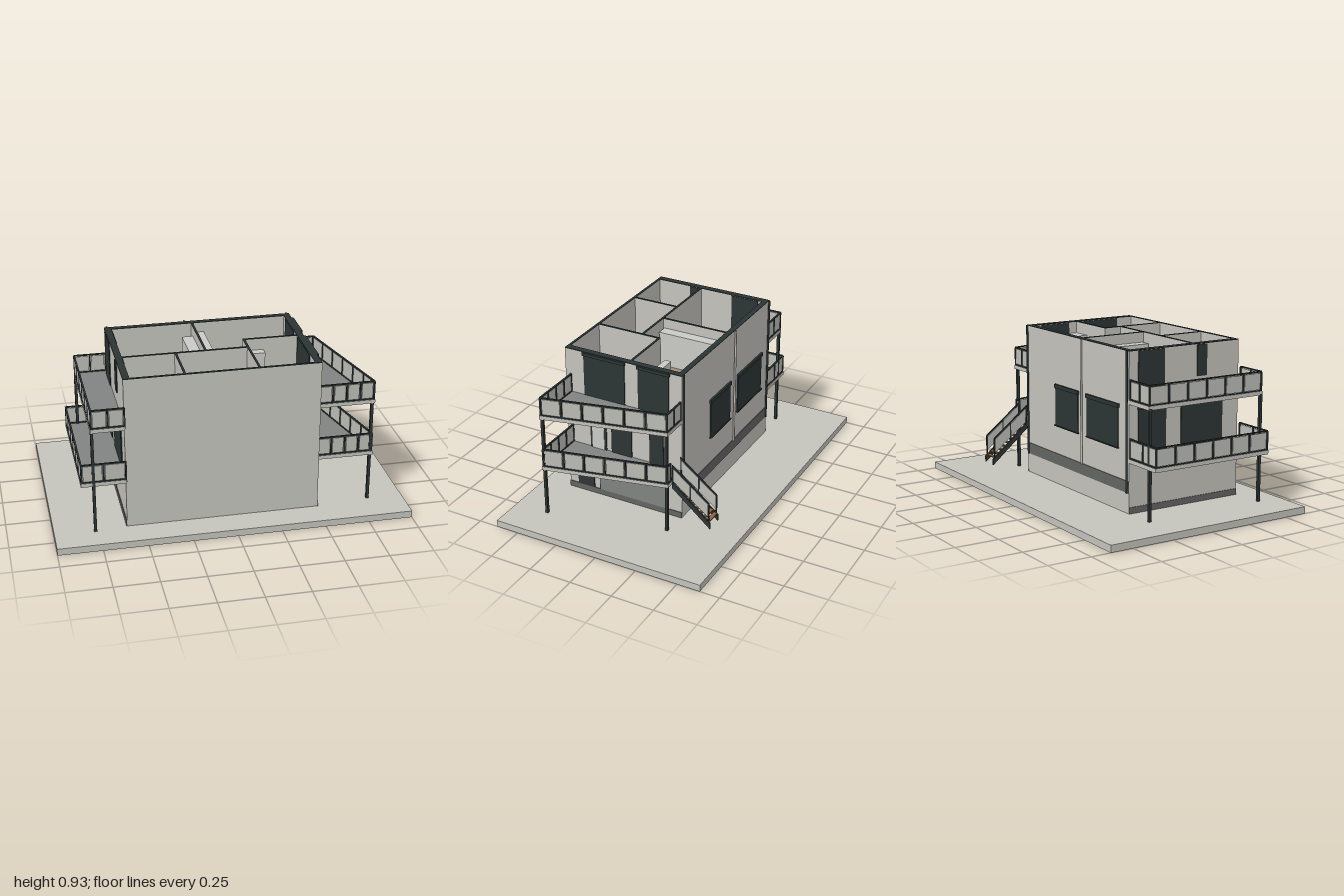
import * as THREE from 'three';

const mat = (name, color) => {
  const m = new THREE.MeshStandardMaterial({ color });
  m.name = name;
  return m;
};

export function createModel() {
  const root = new THREE.Group();
  root.name = 'house';
  const render = mat('wall render', 0xc4c3bc);
  const dark = mat('anthracite', 0x2c3534);
  const grey = mat('mid grey', 0x808481);
  const plinthGrey = mat('plinth grey', 0x636563);
  const panelGrey = mat('railing panel', 0xbdbdb7);
  const wood = mat('wood', 0x93623b);
  const floorWood = mat('floor boards', 0x9f8b79);
  const white = mat('furniture white', 0xcacac5);

  const add = (name, geo, material, parent = root) => {
    const m = new THREE.Mesh(geo, material);
    m.name = name;
    parent.add(m);
    return m;
  };
  // box given by its limits
  const box = (name, material, x0, x1, y0, y1, z0, z1, parent = root) => {
    const m = add(name, new THREE.BoxGeometry(x1 - x0, y1 - y0, z1 - z0), material, parent);
    m.position.set((x0 + x1) / 2, (y0 + y1) / 2, (z0 + z1) / 2);
    return m;
  };

  // ground slab and house body
  const X0 = -0.595, X1 = 0.492, Z0 = -0.257, Z1 = 0.47, F = 0.66, TOP = 0.93;
  box('groundSlab', render, -1, 1, 0, 0.04, -0.635, 0.635);
  box('lowerStoreys', render, X0, X1, 0.04, F, Z0, Z1);

  // open top storey: walls with dark caps
  const wall = (name, x0, x1, z0, z1) => {
    box(name, render, x0, x1, F, TOP - 0.004, z0, z1);
    box(name + 'Cap', dark, x0, x1, TOP - 0.004, TOP, z0, z1);
  };
  wall('leftWall', 0.455, X1, Z0, Z1);
  wall('rightWall', X0, -0.557, Z0, Z1);
  wall('backWall', -0.557, 0.455, Z0, -0.225);
  wall('frontWall', -0.557, 0.455, 0.456, Z1);
  const partitions = [
    [-0.097, -0.085, -0.225, 0.172], [-0.557, 0.142, 0.172, 0.184], [0.142, 0.154, 0.064, 0.456],
    [0.154, 0.455, 0.064, 0.076], [-0.266, -0.254, 0.184, 0.456],
  ];
  partitions.forEach((p, i) => wall('partition' + (i + 1), ...p));

  // floors of the top storey
  box('bedroomFloor', floorWood, -0.557, 0.455, F, F + 0.004, -0.225, 0.456);
  box('bathroomFloor', grey, -0.557, -0.266, F + 0.004, F + 0.008, 0.184, 0.456);
  box('stairwell', white, -0.254, 0.142, F + 0.004, F + 0.008, 0.35, 0.456);
  const winder = new THREE.Shape([[0.02, 0.35], [0.142, 0.35], [0.142, 0.435]].map(p => new THREE.Vector2(...p)));
  const winderGeo = new THREE.ExtrudeGeometry(winder, { depth: 0.008, bevelEnabled: false }).rotateX(Math.PI / 2);
  add('stairWinder', winderGeo, wood).position.y = F + 0.016;

  // furniture: name, material, x0, x1, height, z0, z1
  const furniture = [
    ['bed', grey, -0.465, -0.27, 0.06, -0.225, -0.01], ['pillow', white, -0.43, -0.35, 0.07, -0.222, -0.18],
    ['nightstand', white, -0.515, -0.465, 0.05, -0.225, -0.175], ['nightstand', white, -0.27, -0.2, 0.05, -0.225, -0.175],
    ['wardrobe', white, -0.16, -0.097, 0.21, -0.17, 0.165], ['wardrobe', white, -0.085, -0.022, 0.21, -0.225, 0.165],
    ['sideboard', white, -0.44, -0.295, 0.08, 0.13, 0.172],
    ['bed', grey, 0.11, 0.32, 0.06, -0.225, -0.13], ['nightstand', white, 0.32, 0.395, 0.06, -0.225, -0.165],
    ['nightstand', white, 0.015, 0.11, 0.06, -0.225, -0.175], ['cabinet', white, 0.34, 0.455, 0.2, -0.035, 0.064],
    ['shelf', white, 0.095, 0.19, 0.11, 0.025, 0.064], ['cabinet', white, 0.154, 0.26, 0.2, 0.076, 0.125],
    ['bed', grey, 0.165, 0.375, 0.06, 0.36, 0.456], ['nightstand', white, 0.375, 0.455, 0.06, 0.415, 0.456],
    ['bath', white, -0.54, -0.465, 0.06, 0.25, 0.39], ['basin', white, -0.415, -0.355, 0.1, 0.195, 0.235],
    ['toilet', white, -0.505, -0.45, 0.05, 0.405, 0.445], ['washUnit', dark, -0.37, -0.28, 0.1, 0.444, 0.456],
  ];
  furniture.forEach(([n, m, x0, x1, h, z0, z1]) => box(n, m, x0, x1, F + 0.004, F + h, z0, z1));
  const desks = [[0.19, 0.34, -0.01, 0.064], [0.26, 0.455, 0.076, 0.15], [0.385, 0.455, 0.15, 0.245]];
  desks.forEach(([x0, x1, z0, z1]) => {
    box('deskTop', wood, x0, x1, F + 0.075, F + 0.085, z0, z1);
    for (const x of [x0, x1 - 0.008]) box('deskLeg', wood, x, x + 0.008, F, F + 0.075, z0, z1);
  });
  for (const [x, z] of [[0.265, -0.05], [0.325, 0.182]]) {
    box('chairSeat', plinthGrey, x - 0.031, x + 0.031, F + 0.045, F + 0.055, z - 0.03, z + 0.03);
    box('chairStem', plinthGrey, x - 0.006, x + 0.006, F, F + 0.045, z - 0.006, z + 0.006);
  }

  // windows and doors on the left (+x) side
  const plinthAndLeft = [
    ['plinth', plinthGrey, 0.04, 0.075, Z0, Z1, 0.004], ['frontDoor', dark, 0.075, 0.29, 0.305, 0.412, 0.006],
    ['showWindowFrame', dark, 0.075, 0.292, -0.175, 0.27, 0.005], ['showWindowGlass', grey, 0.077, 0.284, -0.168, 0.263, 0.008],
    ['balconyDoorFrame', dark, 0.345, 0.602, 0.217, 0.32, 0.005], ['balconyDoor', white, 0.345, 0.59, 0.23, 0.307, 0.008],
    ['window', dark, 0.345, 0.615, 0.055, 0.184, 0.006], ['window', dark, 0.345, 0.615, -0.145, -0.058, 0.006],
    ['shutterBox', dark, 0.608, 0.628, 0.05, 0.189, 0.012], ['shutterBox', dark, 0.608, 0.628, -0.15, -0.053, 0.012],
    ['shutterBox', dark, 0.91, 0.928, 0.088, 0.355, 0.012], ['shutterBox', dark, 0.91, 0.928, -0.186, 0.014, 0.012],
  ];
  plinthAndLeft.forEach(([n, m, y0, y1, z0, z1, d]) => box(n, m, X1 - 0.01, X1 + d, y0, y1, z0, z1));
  box('doorHandle', grey, X1, X1 + 0.012, 0.16, 0.22, 0.395, 0.399);
  // full-depth glazing of the top storey
  for (const [z0, z1] of [[0.093, 0.35], [-0.18, 0.01]]) box('topWindow', dark, 0.451, X1 + 0.005, 0.667, 0.925, z0, z1);

  // windows on the right (-x) side
  box('topWindow', dark, X0 - 0.005, -0.553, 0.667, 0.925, -0.2, -0.03);
  box('bathWindow', dark, X0 - 0.006, -0.553, 0.75, 0.925, 0.185, 0.25);
  box('plinth', plinthGrey, X0 - 0.004, X0, 0.04, 0.075, Z0, Z1);
  for (const [z0, z1] of [[-0.2, -0.02], [0.08, 0.36]]) {
    box('window', dark, X0 - 0.006, X0 + 0.01, 0.345, 0.615, z0, z1);
    box('shutterBox', dark, X0 - 0.012, X0 + 0.01, 0.608, 0.628, z0 - 0.005, z1 + 0.005);
  }

  // back wall: plinth band, windows, pipes
  box('plinthBand', plinthGrey, X0, X1, 0.155, 0.22, Z0 - 0.004, Z0);
  for (const [x0, x1] of [[-0.495, -0.18], [-0.085, 0.16]]) {
    box('backWindow', dark, x0, x1, 0.39, 0.615, Z0 - 0.006, Z0 + 0.01);
    box('shutterBox', dark, x0 - 0.005, x1 + 0.005, 0.608, 0.63, Z0 - 0.012, Z0 + 0.01);
    box('windowSill', dark, x0 - 0.005, x1 + 0.005, 0.384, 0.39, Z0 - 0.012, Z0 + 0.01);
  }
  const pipe = (name, m, x, z, y0) => {
    add(name, new THREE.CylinderGeometry(0.006, 0.006, TOP - y0 + 0.002, 12), m).position.set(x, (TOP + y0) / 2, z);
  };
  pipe('ventPipe', render, -0.13, Z0 - 0.01, 0.22);
  pipe('downpipe', dark, 0.478, Z0 - 0.006, 0.155);
  pipe('downpipe', dark, -0.58, Z0 - 0.006, 0.155);

  // balcony slab with grey deck, from an outline of [x, z] points
  const slab = (name, pts, y) => {
    const shape = new THREE.Shape(pts.map(p => new THREE.Vector2(...p)));
    const layer = (n, m, top, depth) => {
      const g = new THREE.ExtrudeGeometry(shape, { depth, bevelEnabled: false }).rotateX(Math.PI / 2);
      add(n, g, m).position.y = top;
    };
    layer(name, render, y - 0.003, 0.02);
    layer(name + 'Deck', grey, y, 0.003);
  };
  // straight railing between two [x, z] points with n panels
  const railing = (name, a, b, y, n) => {
    const g = new THREE.Group();
    g.name = name;
    const dx = b[0] - a[0], dz = b[1] - a[1], L = Math.hypot(dx, dz);
    g.position.set(a[0], y, a[1]);
    g.rotation.y = Math.atan2(-dz, dx);
    root.add(g);
    box('handrail', dark, 0, L, 0.104, 0.111, -0.005, 0.005, g);
    box('bottomRail', dark, 0, L, 0, 0.005, -0.004, 0.004, g);
    for (let i = 0; i <= n; i++) {
      const x = (i * L) / n;
      box('railPost', dark, x - 0.0045, x + 0.0045, -0.015, 0.106, -0.0045, 0.0045, g);
      if (i < n) box('railPanel', panelGrey, x + 0.008, x + L / n - 0.008, 0.008, 0.1, -0.002, 0.002, g);
    }
  };
  const leftOutline = [[X1, Z0], [0.65, Z0], [0.812, 0.443], [X1, 0.443]];
  for (const y of [0.345, 0.665]) {
    // tapered balconies on the left
    slab('leftBalcony', leftOutline, y);
    railing('frontRailing', [X1, 0.436], [0.805, 0.436], y, 4);
    railing('sideRailing', [0.805, 0.436], [0.645, -0.25], y, 6);
    railing('backRailing', [0.645, -0.25], [y < 0.5 ? 0.607 : X1, -0.25], y, y < 0.5 ? 1 : 2);
    // straight balconies on the right, the lower one deeper
    const xr = y < 0.5 ? -0.843 : -0.78;
    slab('rightBalcony', [[xr, Z0], [X0, Z0], [X0, 0.495], [xr, 0.495]], y);
    railing('frontRailing', [xr + 0.005, 0.489], [X0, 0.489], y, 2);
    railing('sideRailing', [xr + 0.005, -0.25], [xr + 0.005, 0.489], y, 6);
    railing('backRailing', [xr + 0.005, -0.25], [X0, -0.25], y, 2);
  }
  // balcony columns
  for (const [x, z] of [[0.797, 0.433], [0.636, -0.242], [-0.773, 0.487], [-0.773, -0.245]])
    box('balconyColumn', dark, x - 0.008, x + 0.008, 0.04, 0.65, z - 0.008, z + 0.008);

  // outside stair: sloped strips running from the balcony to the back
  const strip = (name, m, x, w, y0, y1, h, zEnd = -0.48) => {
    const s = new THREE.Shape([[0.257, y0 - h], [-zEnd, y1 - h], [-zEnd, y1], [0.257, y0]].map(p => new THREE.Vector2(...p)));
    const g = new THREE.ExtrudeGeometry(s, { depth: w, bevelEnabled: false }).rotateY(Math.PI / 2);
    add(name, g, m).position.x = x;
  };
  for (const x of [0.503, 0.597]) {
    strip('stairStringer', dark, x, 0.01, 0.338, 0.142, 0.036, -0.49);
    strip('stairHandrail', dark, x + 0.001, 0.008, 0.443, 0.268, 0.009);
    strip('stairRailPanel', panelGrey, x + 0.003, 0.004, 0.428, 0.255, 0.08);
    for (const z of [-0.262, -0.37, -0.478]) {
      const y = 0.443 + (z + 0.257) * 0.785;
      box('stairRailPost', dark, x + 0.001, x + 0.009, y - 0.12, y - 0.003, z - 0.004, z + 0.004);
    }
  }
  for (let i = 0; i < 10; i++) {
    const z = -0.27 - i * 0.0228, y = 0.322 - i * 0.0192;
    box('stairTread', wood, 0.513, 0.597, y, y + 0.007, z - 0.012, z + 0.01);
  }
  return root;
}
